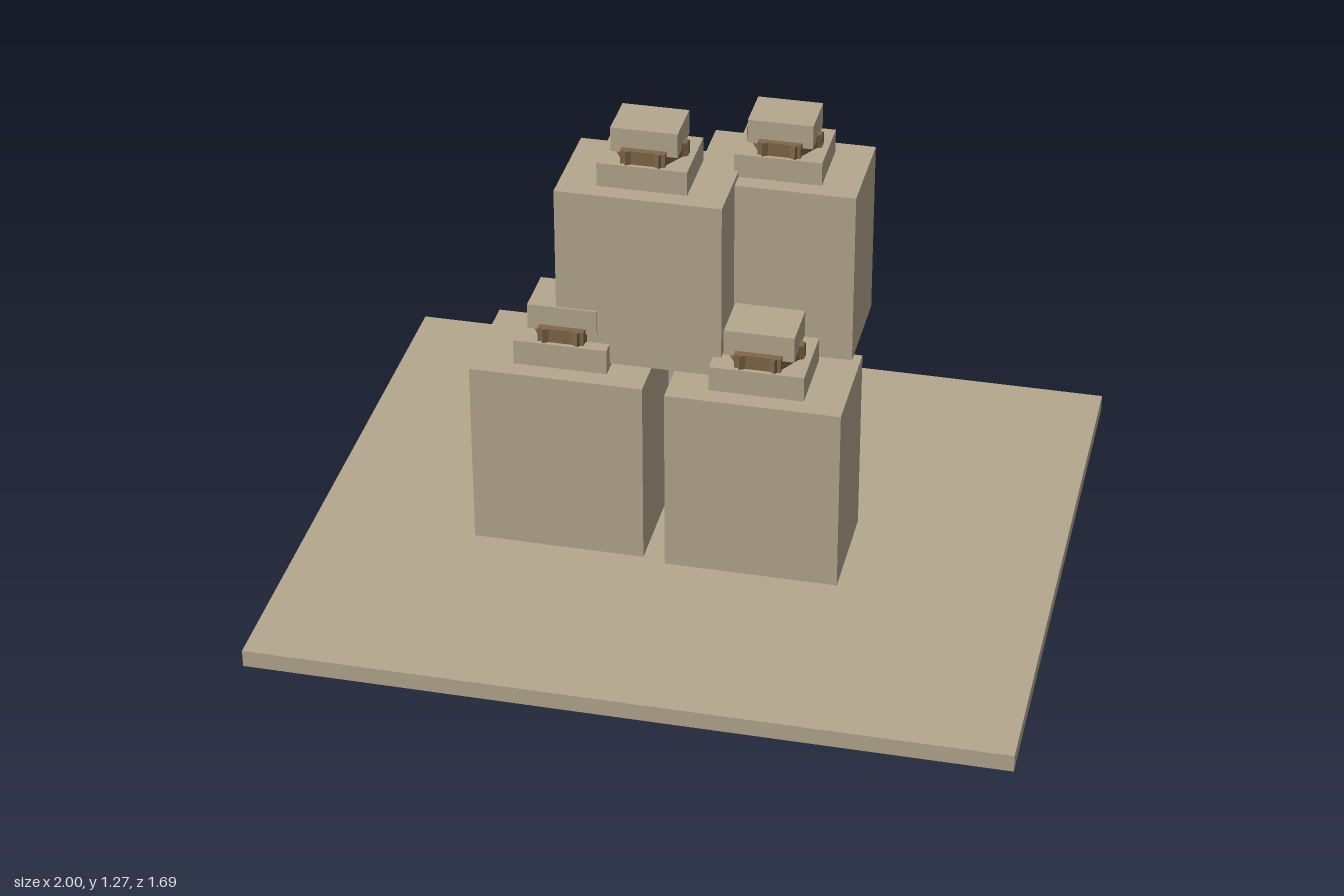
import * as THREE from 'three';

export function createModel() {
  const model = new THREE.Group();
  const sackcloth = new THREE.MeshStandardMaterial({ color: 0xb5a78d });
  sackcloth.name = 'sackcloth';
  const rope = new THREE.MeshStandardMaterial({ color: 0x806648 });
  rope.name = 'rope';

  // Box standing on height y
  function box(parent, name, material, w, h, d, x, y, z) {
    const mesh = new THREE.Mesh(new THREE.BoxGeometry(w, h, d), material);
    mesh.name = name;
    mesh.position.set(x, y + h / 2, z);
    parent.add(mesh);
    return mesh;
  }

  // One tied sack: body, gathered collar, six-piece rope ring and tuft
  function sack(name, w, x, y, z) {
    const g = new THREE.Group();
    g.name = name;
    g.position.set(x, y, z);
    const h = 1.135 * w;
    box(g, 'sackBody', sackcloth, w, h, 0.66 * w, 0, 0, 0);
    box(g, 'collar', sackcloth, 0.54 * w, 0.152 * w, 0.435 * w, 0, h, 0);
    box(g, 'tuft', sackcloth, 0.4 * w, 0.155 * w, 0.305 * w, 0, h + 0.205 * w, 0);
    const tie = new THREE.Group();
    tie.name = 'ropeTie';
    for (let i = 0; i < 6; i++) {
      const a = (i * Math.PI) / 3;
      const r = 0.155 * w;
      const piece = box(tie, 'ropePiece', rope, 0.265 * w, 0.09 * w, 0.075 * w,
        Math.sin(a) * r, h + 0.148 * w, Math.cos(a) * r);
      piece.rotation.y = a;
    }
    g.add(tie);
    model.add(g);
  }

  box(model, 'basePlate', sackcloth, 2, 0.048, 1.694, 0, 0, 0);

  // Three sacks below, two stacked above
  sack('frontRightSack', 0.462, -0.311, 0.08, 0.105);
  sack('frontLeftSack', 0.462, 0.213, 0.08, 0.122);
  sack('backSack', 0.455, -0.003, 0.08, -0.261);
  sack('upperRightSack', 0.437, -0.109, 0.617, 0.026);
  sack('upperLeftSack', 0.425, 0.212, 0.615, -0.124);

  return model;
}
